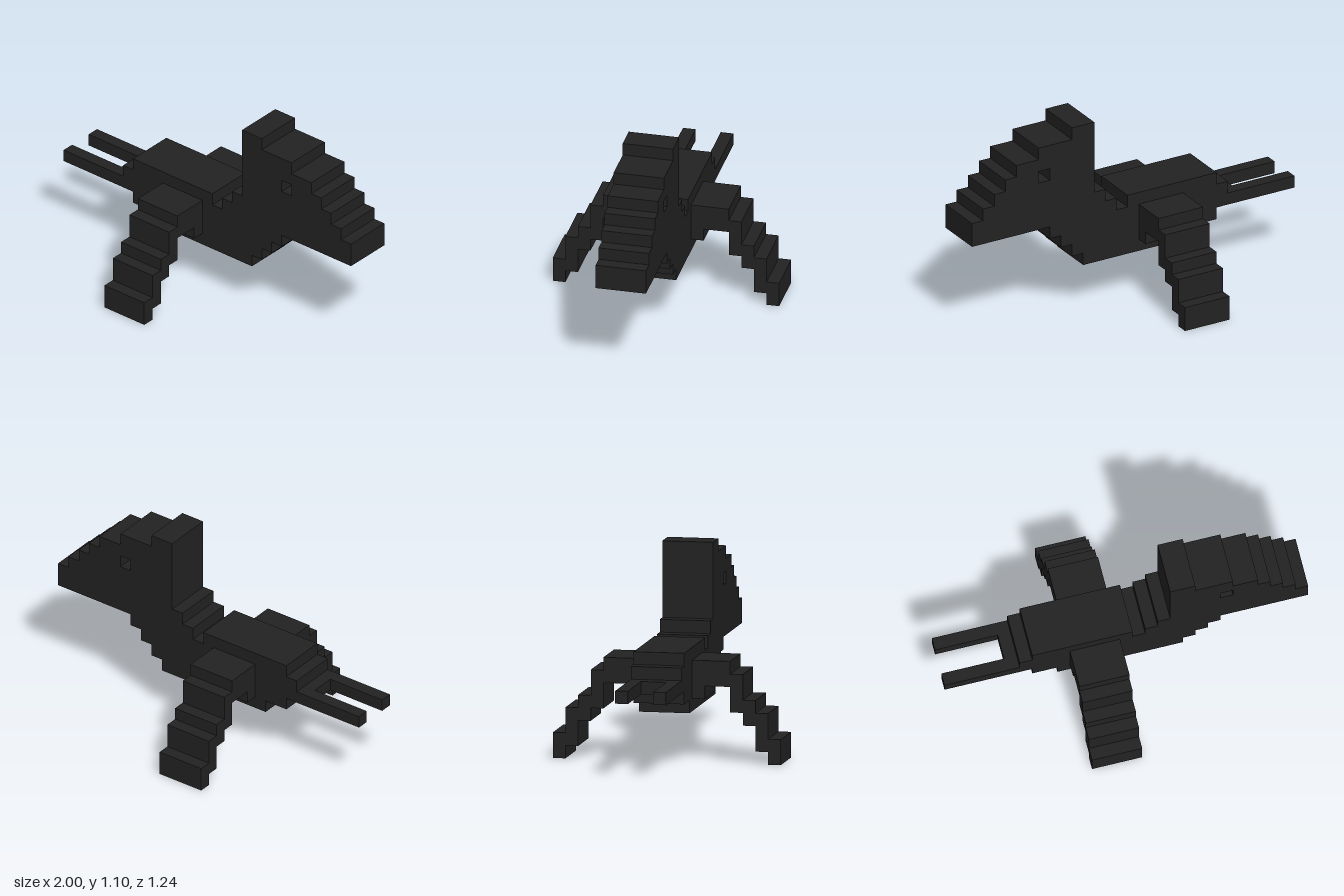
import * as THREE from 'three';

// One block of the stepped grid: the model is 29 blocks long.
const U = 2 / 29;
const MID = 14.5;

// Closed outline from corner points in block units, x offset by dx blocks.
function outline(points, dx = 0, Type = THREE.Shape) {
  return new Type(points.map(([x, y]) => new THREE.Vector2((x - dx) * U, y * U)));
}

export function createModel() {
  const group = new THREE.Group();
  const charcoal = new THREE.MeshStandardMaterial({ color: 0x222222 });
  charcoal.name = 'charcoal';

  const add = (name, geometry) => {
    const mesh = new THREE.Mesh(geometry, charcoal);
    mesh.name = name;
    group.add(mesh);
    return mesh;
  };
  const extrude = (shape, blocks) =>
    new THREE.ExtrudeGeometry(shape, { depth: blocks * U, bevelEnabled: false });

  // Torso: side outline with stepped belly and neck base, four blocks wide
  const torso = outline([
    [9, 4], [19, 4], [19, 5], [20, 5], [20, 6], [21, 6], [21, 7], [22, 7], [22, 8],
    [15, 8], [15, 9], [7, 9], [7, 8], [6, 8], [6, 7], [5, 7], [5, 6], [7, 6], [7, 5], [9, 5],
  ], MID);
  add('torso', extrude(torso, 4)).position.z = -2 * U;

  // Head: neck, crest and beak stepping down to the front, with an eye hole
  const head = outline([
    [16, 8], [29, 8], [29, 10], [28, 10], [28, 11], [27, 11], [27, 12], [26, 12], [26, 13],
    [25, 13], [25, 14], [23, 14], [23, 15], [20, 15], [20, 16], [18, 16], [18, 10],
    [17, 10], [17, 9], [16, 9],
  ], MID);
  head.holes.push(outline([[22, 12], [22, 13], [23, 13], [23, 12]], MID, THREE.Path));
  add('head', extrude(head, 4)).position.z = -2 * U;

  // Wings: outline stepping outwards and down, four blocks deep
  const wing = outline([
    [2, 5], [3, 5], [3, 6], [5, 6], [5, 4], [6, 4], [6, 3], [7, 3], [7, 1], [8, 1], [8, 0],
    [9, 0], [9, 2], [8, 2], [8, 4], [7, 4], [7, 5], [6, 5], [6, 7], [5, 7], [5, 8], [2, 8],
  ]);
  for (const side of [1, -1]) {
    const mesh = add(side > 0 ? 'frontWing' : 'backWing', extrude(wing, 4));
    mesh.rotation.y = -side * Math.PI / 2;
    mesh.position.x = ((side > 0 ? 14 : 10) - MID) * U;

    // Tail prong on the same side
    const prong = add(side > 0 ? 'frontTailProng' : 'backTailProng',
      new THREE.BoxGeometry(5 * U, U, U));
    prong.position.set((2.5 - MID) * U, 6.5 * U, side * 1.5 * U);
  }

  return group;
}
